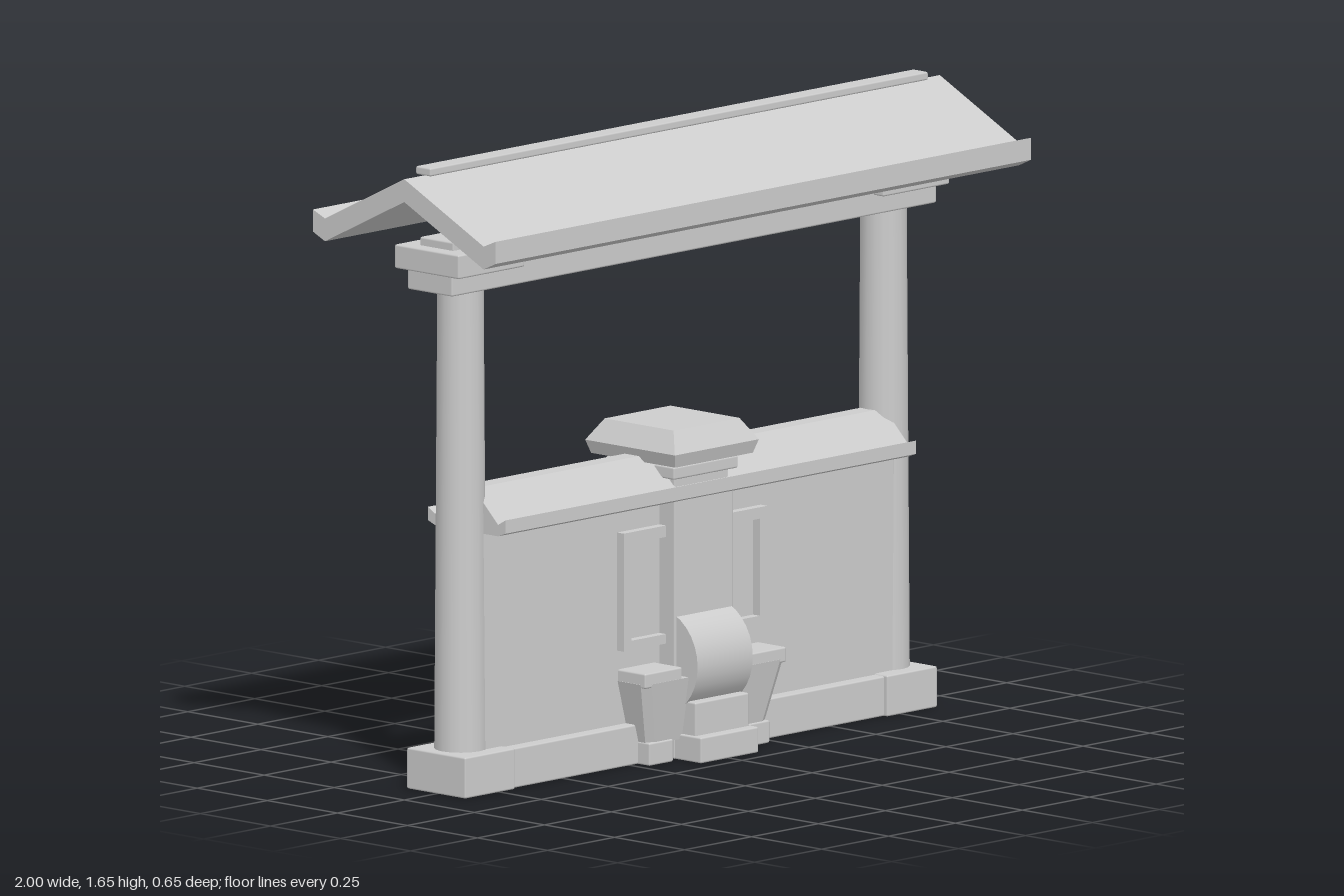
import * as THREE from 'three';
import { RoundedBoxGeometry } from 'three/addons/geometries/RoundedBoxGeometry.js';

const stone = new THREE.MeshStandardMaterial({ color: 0xcccccc });
stone.name = 'stone';

export function createModel() {
  const model = new THREE.Group();
  model.name = 'gateWall';

  const add = (name, geometry, x = 0, y = 0, z = 0) => {
    const mesh = new THREE.Mesh(geometry, stone);
    mesh.name = name;
    mesh.position.set(x, y, z);
    model.add(mesh);
    return mesh;
  };

  // Block with slightly softened edges, centred in z, from y0 to y1
  const block = (name, x0, x1, y0, y1, z0, z1) =>
    add(name, new RoundedBoxGeometry(x1 - x0, y1 - y0, z1 - z0, 1, 0.005),
      (x0 + x1) / 2, (y0 + y1) / 2, (z0 + z1) / 2);

  // Tapered block: half sizes (x, z) at the bottom and at the top
  const taper = (name, y0, y1, [bx, bz], [tx, tz], cut = 0) => {
    const c = 1 - cut;
    const outline = [[-1, -c], [-c, -1], [c, -1], [1, -c], [1, c], [c, 1], [-c, 1], [-1, c]];
    const corners = cut ? outline : [[-1, -1], [1, -1], [1, 1], [-1, 1]];
    const shape = new THREE.Shape(corners.map(([x, z]) => new THREE.Vector2(x, z)));
    const geo = new THREE.ExtrudeGeometry(shape, { depth: 1, bevelEnabled: false });
    geo.rotateX(-Math.PI / 2);
    const p = geo.attributes.position;
    for (let i = 0; i < p.count; i++) {
      const t = p.getY(i);
      p.setXYZ(i, p.getX(i) * (bx + (tx - bx) * t), y0 + (y1 - y0) * t, p.getZ(i) * (bz + (tz - bz) * t));
    }
    geo.computeVertexNormals();
    return add(name, geo);
  };

  // Gabled roof: mirrored half profile of (z, y) points swept along x
  const gable = (name, halfLength, half) => {
    const pts = [
      ...half,
      ...half.slice(1, -1).reverse().map(([z, y]) => [-z, y]),
    ].map(([z, y]) => new THREE.Vector2(z, y));
    const geo = new THREE.ExtrudeGeometry(new THREE.Shape(pts), { depth: 2 * halfLength, bevelEnabled: false });
    geo.translate(0, 0, -halfLength);
    geo.rotateY(Math.PI / 2);
    return add(name, geo);
  };

  // Main roof with upturned eaves and a ridge cap
  gable('mainRoof', 1, [[0, 1.63], [0.283, 1.49], [0.326, 1.508], [0.326, 1.45], [0.283, 1.43], [0, 1.57]]);
  block('ridgeCap', -0.93, 0.93, 1.63, 1.652, -0.027, 0.027);

  // Top beam and the plaque on its back
  block('topBeam', -0.905, 0.905, 1.318, 1.43, -0.08, 0.08);
  block('beamTopRail', -0.88, 0.88, 1.42, 1.455, -0.06, 0.06);
  block('plaque', -0.13, 0.13, 1.315, 1.492, -0.127, -0.08);

  // Posts, brackets and post bases
  for (const s of [-1, 1]) {
    add('post', new THREE.CylinderGeometry(0.06, 0.068, 1.24, 16), s * 0.79, 0.7, 0);
    const span = (a, b) => (s > 0 ? [a, b] : [-b, -a]);
    block('bracket', ...span(0.67, 0.917), 1.37, 1.433, -0.115, 0.115);
    block('postBase', ...span(0.695, 0.882), 0, 0.108, -0.105, 0.105);
  }

  // Plinth and wall with its small roof
  block('plinth', -0.72, 0.72, 0, 0.105, -0.093, 0.093);
  block('wall', -0.77, 0.77, 0.09, 0.72, -0.06, 0.06);
  gable('wallCoping', 0.767, [[0, 0.79], [0.025, 0.79], [0.112, 0.705], [0.138, 0.72], [0.138, 0.685], [0.112, 0.675], [0, 0.675]]);

  // Window frames on both faces of the wall
  const frame = new THREE.Shape();
  frame.moveTo(-0.268, 0.3).lineTo(0.268, 0.3).lineTo(0.268, 0.61).lineTo(-0.268, 0.61);
  const opening = new THREE.Path();
  opening.moveTo(-0.24, 0.325).lineTo(-0.24, 0.58).lineTo(0.24, 0.58).lineTo(0.24, 0.325);
  frame.holes.push(opening);
  add('windowFrames', new THREE.ExtrudeGeometry(frame, { depth: 0.168, bevelEnabled: false }), 0, 0, -0.084);

  // Central pier and its cap
  block('pier', -0.11, 0.11, 0, 0.68, -0.115, 0.115);
  block('pierNeck', -0.1, 0.1, 0.66, 0.79, -0.105, 0.105);
  block('pierCornice', -0.12, 0.12, 0.735, 0.768, -0.122, 0.122);
  taper('capUnderside', 0.775, 0.81, [0.145, 0.15], [0.157, 0.16]);
  taper('capTop', 0.81, 0.866, [0.157, 0.16], [0.123, 0.123]);

  // Flared cradle with raised shoulders and feet
  taper('cradle', 0.055, 0.22, [0.222, 0.13], [0.266, 0.158], 0.1);
  for (const s of [-1, 1]) {
    const span = (a, b) => (s > 0 ? [a, b] : [-b, -a]);
    block('cradleShoulder', ...span(0.125, 0.264), 0.21, 0.25, -0.157, 0.157);
    block('cradleFoot', ...span(0.135, 0.225), 0, 0.06, -0.135, 0.135);
    // Steps on front and back
    const zspan = (d) => (s > 0 ? [0, d] : [-d, 0]);
    block('upperStep', -0.1, 0.1, 0, 0.155, ...zspan(0.18));
    block('lowerStep', -0.108, 0.108, 0, 0.068, ...zspan(0.207));
  }

  // Drum stone on the front
  const drum = add('drumStone', new THREE.CylinderGeometry(0.14, 0.14, 0.206, 32), 0, 0.25, 0.05);
  drum.rotation.z = Math.PI / 2;

  return model;
}
